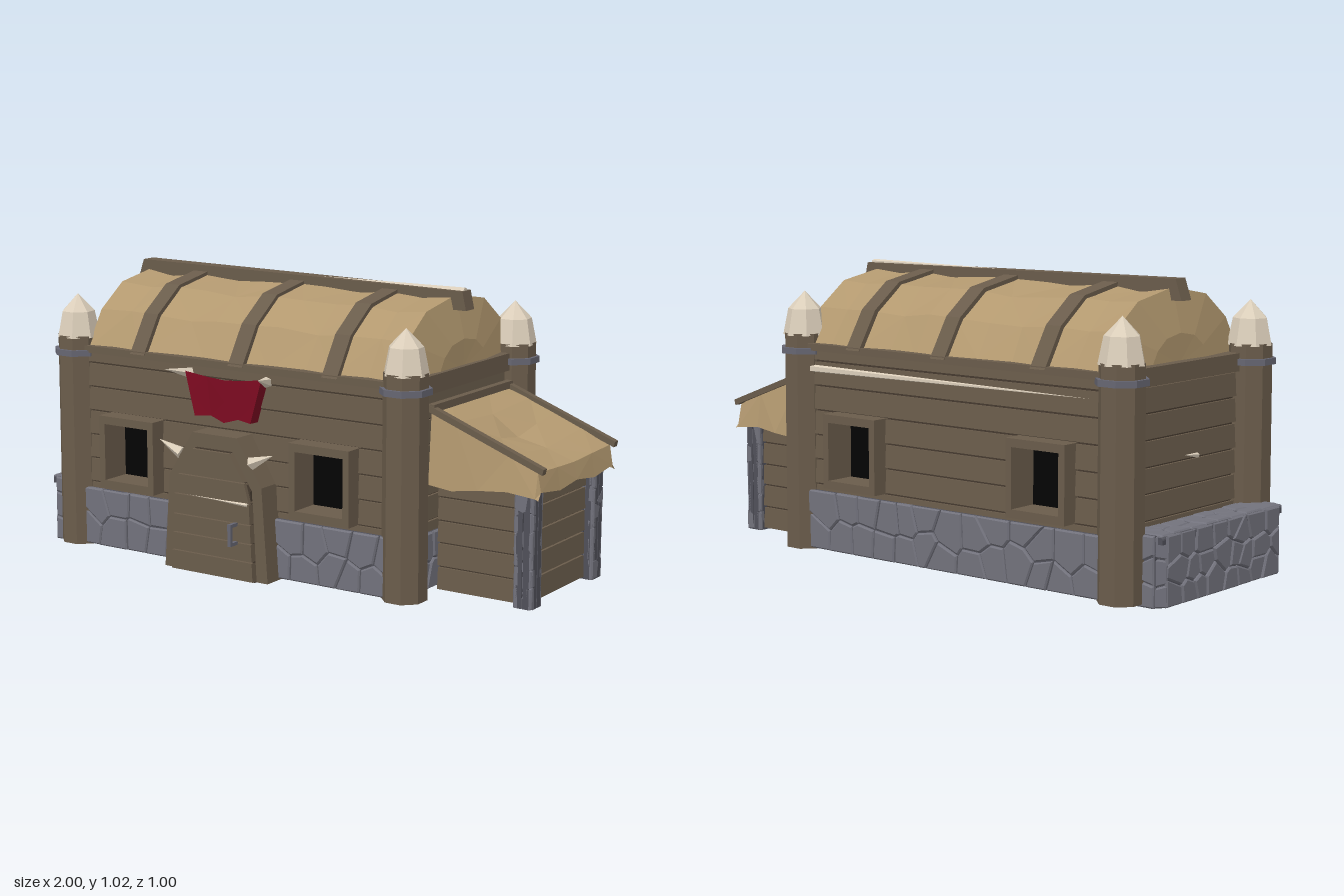
import * as THREE from 'three';
import { mergeGeometries } from 'three/addons/utils/BufferGeometryUtils.js';

const mat = (name, color, side = THREE.FrontSide) =>
  Object.assign(new THREE.MeshStandardMaterial({ color, flatShading: true, side }), { name });
const wood = mat('wood', 0x6a5c4b);
const darkWood = mat('dark wood', 0x453a2f);
const cloth = mat('hide cloth', 0xb2986f, THREE.DoubleSide);
const stone = mat('stone', 0x72727c);
const mortar = mat('mortar', 0x505059);
const bone = mat('bone', 0xdccfbb);
const iron = mat('iron', 0x666672);
const red = mat('red cloth', 0x7b0a20, THREE.DoubleSide);
const black = mat('black opening', 0x040404, THREE.DoubleSide);

let seed = 7;
const rand = () => (seed = (seed * 16807) % 2147483647) / 2147483647;
const V = (x, y, z) => new THREE.Vector3(x, y, z);

function add(parent, name, geo, material, x = 0, y = 0, z = 0) {
  const m = new THREE.Mesh(geo, material);
  m.name = name;
  m.position.set(x, y, z);
  parent.add(m);
  return m;
}
function place(parent, name, x, y, z, turn = 0) {
  const g = new THREE.Group();
  g.name = name;
  g.position.set(x, y, z);
  g.rotation.y = turn;
  parent.add(g);
  return g;
}
// box given by its lower and upper corners
function block(parent, name, m, x0, x1, y0, y1, z0, z1) {
  return add(parent, name, new THREE.BoxGeometry(x1 - x0, y1 - y0, z1 - z0), m, (x0 + x1) / 2, (y0 + y1) / 2, (z0 + z1) / 2);
}
const shapeOf = pts => new THREE.Shape(pts.map(p => new THREE.Vector2(p[0], p[1])));
const extrude = (shape, depth) => new THREE.ExtrudeGeometry(shape, { depth, bevelEnabled: false });

// grid surface from rows of points
function sheet(rows) {
  const n = rows[0].length, index = [];
  for (let i = 0; i < rows.length - 1; i++) for (let j = 0; j < n - 1; j++) {
    const a = i * n + j;
    if ((i + j) % 2) index.push(a, a + 1, a + n, a + 1, a + n + 1, a + n);
    else index.push(a, a + 1, a + n + 1, a, a + n + 1, a + n);
  }
  const g = new THREE.BufferGeometry();
  g.setAttribute('position', new THREE.Float32BufferAttribute(rows.flat(2), 3));
  g.setIndex(index);
  g.computeVertexNormals();
  return g;
}
// tapered spike from base to tip
function spike(parent, name, base, tip, r) {
  const d = tip.clone().sub(base);
  const m = add(parent, name, new THREE.ConeGeometry(r, d.length(), 5), bone);
  m.position.copy(base).addScaledVector(d, 0.5);
  m.quaternion.setFromUnitVectors(V(0, 1, 0), d.normalize());
}
// horizontal planks between the given heights, outer face at local z = 0, cut out around windows
function plankWall(parent, name, x, z, turn, width, cuts, windows = []) {
  const g = place(parent, name, x, 0, z, turn);
  for (let i = 0; i < cuts.length - 1; i++) {
    const y0 = cuts[i], y1 = cuts[i + 1], holes = y0 > 0.24 && y1 < 0.52 ? windows : [];
    const ends = [-width / 2, ...holes.flatMap(c => [c - 0.108, c + 0.108]), width / 2];
    for (let k = 0; k < ends.length; k += 2) {
      block(g, 'backing', darkWood, ends[k], ends[k + 1], y0, y1, -0.034, -0.016);
      block(g, 'plank', wood, ends[k], ends[k + 1], y0 + 0.004, y1 - 0.004, -0.026, -0.003).rotation.x = -0.06;
    }
  }
}
// keep the part of a polygon nearer to a than to b, less half a joint
function clip(poly, a, b) {
  const n = b.clone().sub(a), len = n.length();
  n.divideScalar(len);
  const dist = p => p.clone().sub(a).dot(n) - len / 2 + 0.002, out = [];
  poly.forEach((p, i) => {
    const q = poly[(i + 1) % poly.length], dp = dist(p), dq = dist(q);
    if (dp <= 0) out.push(p);
    if (dp * dq < 0) out.push(p.clone().lerp(q, dp / (dp - dq)));
  });
  return out;
}
// irregular cobbles, outer face at local z = 0, base at local y = 0
function cobbles(g, w, h, nx, ny) {
  block(g, 'mortar', mortar, -w / 2, w / 2, 0, h, -0.035, -0.012);
  const seeds = [], geos = [];
  for (let i = 0; i < nx; i++) for (let j = 0; j < ny; j++)
    seeds.push(new THREE.Vector2(((i + 0.5 + (j % 2) * 0.3 + (rand() - 0.5) * 0.7) / nx - 0.5) * w, (j + 0.5 + (rand() - 0.5) * 0.55) / ny * h));
  for (const s of seeds) {
    let poly = [[-w / 2, 0], [w / 2, 0], [w / 2, h], [-w / 2, h]].map(p => new THREE.Vector2(...p));
    for (const o of seeds) if (o !== s) poly = clip(poly, s, o);
    poly = poly.filter((p, i) => p.distanceTo(poly[(i + 1) % poly.length]) > 0.006);
    if (poly.length < 3) continue;
    const b = 0.005;
    geos.push(new THREE.ExtrudeGeometry(new THREE.Shape(poly), { depth: 0.012, bevelThickness: 0.005, bevelSize: b, bevelOffset: -b, bevelSegments: 1 })
      .translate(0, 0, -0.017 - rand() * 0.004));
  }
  add(g, 'stones', mergeGeometries(geos), stone);
}
const stoneWall = (parent, name, x, y, z, turn, w, h, nx, ny) => cobbles(place(parent, name, x, y, z, turn), w, h, nx, ny);

// half arch of the roof: [z offset, height above the eave]
const half = [[0.41, 0], [0.325, 0.135], [0.2, 0.225], [0, 0.26]];
const arch = [...half, ...half.slice(0, 3).reverse().map(([z, y]) => [-z, y])];
const ring = s => arch.map(([z, y]) => [z * s - 0.05, y * s + 0.74]);
const windowXs = [-0.57, 0.258];

function addWalls(g) {
  const P = Math.PI, cuts = [0.155, 0.247, 0.336, 0.423, 0.512, 0.6, 0.688, 0.742];
  plankWall(g, 'frontWall', -0.15, 0.352, 0, 1.36, cuts, windowXs.map(x => x + 0.15));
  plankWall(g, 'backWall', -0.15, -0.445, P, 1.36, cuts, windowXs.map(x => -x - 0.15).reverse());
  plankWall(g, 'rightWall', 0.55, -0.05, P / 2, 0.74, cuts);
  plankWall(g, 'leftWall', -0.85, -0.05, -P / 2, 0.74, cuts);
  block(g, 'darkLining', black, -0.8, 0.5, 0.21, 0.52, 0.272, 0.28);
  stoneWall(g, 'frontStoneLeft', -0.58, 0.015, 0.37, 0, 0.46, 0.21, 5, 2);
  stoneWall(g, 'frontStoneRight', 0.27, 0.015, 0.37, 0, 0.48, 0.21, 5, 2);
  stoneWall(g, 'backStone', -0.15, 0.015, -0.463, P, 1.3, 0.21, 13, 2);
  stoneWall(g, 'rightStone', 0.565, 0.015, -0.05, P / 2, 0.66, 0.195, 7, 2);
  // eave beams
  block(g, 'frontEave', wood, -0.8, 0.5, 0.725, 0.75, 0.32, 0.36);
  block(g, 'backEave', wood, -0.8, 0.5, 0.725, 0.75, -0.46, -0.42);
  for (const x of [-0.86, 0.51]) block(g, 'endBeam', wood, x, x + 0.055, 0.69, 0.752, -0.4, 0.3);
  // stone buttress along the end
  const b = place(g, 'stoneButtress', 0, 0, 0);
  stoneWall(b, 'outerFace', -1, 0, -0.03, -P / 2, 0.66, 0.235, 8, 3);
  stoneWall(b, 'frontFace', -0.92, 0, 0.34, 0, 0.1, 0.235, 1, 3);
  stoneWall(b, 'backFace', -0.92, 0, -0.4, P, 0.1, 0.235, 1, 3);
  stoneWall(b, 'frontCorner', -0.982, 0, 0.318, -P / 4, 0.055, 0.235, 1, 3);
  stoneWall(b, 'backCorner', -0.982, 0, -0.378, -P * 0.75, 0.055, 0.235, 1, 3);
  block(b, 'core', stone, -0.975, -0.87, 0.005, 0.22, -0.37, 0.31);
  const top = place(b, 'topFace', -0.868, 0.242, -0.03);
  top.rotation.set(-P / 2, 0, P / 2);
  cobbles(top, 0.7, 0.125, 8, 2);
}

function addPosts(g) {
  for (const x of [-0.855, 0.545]) for (const z of [-0.415, 0.32]) {
    const p = place(g, 'cornerPost', x, 0, z, Math.PI / 8);
    add(p, 'shaft', new THREE.CylinderGeometry(0.077, 0.079, 0.772, 8), wood, 0, 0.396, 0);
    add(p, 'band', new THREE.CylinderGeometry(0.09, 0.09, 0.022, 8), iron, 0, 0.722, 0);
    const profile = [[0.079, 0.775], [0.06, 0.868], [0, 0.93]].map(q => new THREE.Vector2(...q));
    add(p, 'boneCap', new THREE.LatheGeometry(profile, 7), bone);
  }
}

function addRoof(g) {
  // cloth sags unevenly between the ribs and closes at both gables
  const stations = [[-0.82, 0], [-0.825, 0.4], [-0.79, 0.97], [-0.67, 0.935], [-0.55, 0.97], [-0.4, 0.93], [-0.27, 0.93], [-0.12, 0.97],
    [0, 0.935], [0.14, 0.925], [0.27, 0.97], [0.4, 0.93], [0.515, 0.97], [0.55, 0.4], [0.545, 0]];
  add(g, 'roofCloth', sheet(stations.map(([x, s]) => {
    const loose = s > 0.9 && s < 0.95 ? 0.03 : 0;
    return ring(s).map(([z, y]) => [x + (rand() - 0.5) * loose, y + (rand() - 0.5) * loose * 0.6, z]);
  })), cloth);
  for (const x of windowXs.length ? [-0.55, -0.12, 0.27] : []) {
    const rib = extrude(shapeOf([...ring(1.01), ...ring(0.9).reverse()]), 0.062);
    add(g, 'roofRib', rib.rotateY(-Math.PI / 2), wood, x + 0.031);
  }
  const side = shapeOf([[-0.84, 0.95], [0.575, 0.945], [0.56, 1.01], [-0.815, 1.022]]);
  add(g, 'ridgeBeam', extrude(side, 0.056), wood, 0, 0, -0.071);
  spike(g, 'ridgeSplinter', V(0.555, 1.008, -0.043), V(-0.16, 1.014, -0.043), 0.014);
  spike(g, 'wallSplinter', V(0.5, 0.66, -0.444), V(-0.75, 0.66, -0.444), 0.014);
  spike(g, 'endSplinter', V(-0.848, 0.43, 0.02), V(-0.848, 0.44, -0.06), 0.01);
}

function addWindows(g) {
  for (const x of windowXs) for (const [z, turn] of [[0.285, 0], [-0.375, Math.PI]]) {
    const w = place(g, 'window', x, 0.38, z, turn);
    const r = (a, b) => [[-a, -b], [a, -b], [a, b], [-a, b]];
    const frame = shapeOf(r(0.122, 0.132));
    frame.holes.push(shapeOf(r(0.097, 0.103)));
    add(w, 'frame', extrude(frame, 0.125), wood);
    add(w, 'opening', new THREE.BoxGeometry(0.196, 0.208, 0.008), black, 0, 0, 0.006);
  }
}

function addDoor(g) {
  const d = place(g, 'door', -0.157, 0, 0);
  const outline = (a, b, c, y1, y2) => [[-a, 0.01], [a, 0.01], [b, y1], [c, y2], [-c, y2], [-b, y1]];
  const frame = shapeOf(outline(0.222, 0.198, 0.095, 0.345, 0.508));
  const inner = outline(0.175, 0.158, 0.075, 0.33, 0.458);
  frame.holes.push(shapeOf(inner));
  add(d, 'frame', extrude(frame, 0.105), wood, 0, 0, 0.33);
  add(d, 'doorBacking', extrude(shapeOf(inner), 0.03), darkWood, 0, 0, 0.415);
  add(d, 'darkBacking', extrude(shapeOf(inner), 0.008), black, 0, 0, 0.405);
  const halfWidth = y => (y < 0.33 ? 0.176 - 0.05 * y : 0.16 - (y - 0.33) * 0.64);
  const cuts = [0.012, 0.083, 0.148, 0.215, 0.288, 0.36, 0.457];
  for (let i = 0; i < 6; i++) {
    const y0 = cuts[i] + 0.002, y1 = cuts[i + 1] - 0.002, a = halfWidth(y0), b = halfWidth(y1);
    add(d, 'doorPlank', extrude(shapeOf([[-a, y0], [a, y0], [b, y1], [-b, y1]]), 0.035), wood, 0, 0, 0.424);
  }
  spike(d, 'doorSplinter', V(0.155, 0.285, 0.456), V(-0.13, 0.29, 0.456), 0.008);
  // handle
  block(d, 'handleGrip', iron, 0.1, 0.113, 0.14, 0.218, 0.488, 0.5);
  for (const y of [0.14, 0.206]) block(d, 'handleArm', iron, 0.1, 0.113, y, y + 0.012, 0.455, 0.49);
  for (const s of [-1, 1]) {
    spike(d, 'doorHorn', V(s * 0.15, 0.425, 0.425), V(s * 0.245, 0.465, 0.43), 0.024);
    spike(d, 'bannerHorn', V(s * 0.165, 0.697, 0.35), V(s * 0.2, 0.722, 0.455), 0.02);
  }
  // hanging banner, its edges folded back to the wall
  const across = [-1, -0.97, -0.45, 0.05, 0.5, 0.97, 1];
  const rows = [0, 0.5, 1].map(t => across.map((u, j) => [u * (0.168 - 0.045 * t),
    0.71 - 0.155 * t - (1 - t) * 0.018 * (1 - u * u) - t * [0, 0, -0.006, 0.012, -0.004, 0.002, 0.002][j],
    j % 6 ? 0.374 + 0.009 * (j % 2) + 0.005 * t : 0.348]));
  add(d, 'banner', sheet(rows), red);
}

function addAnnex(g) {
  const a = place(g, 'annex', 0, 0, 0), cuts = [0.008, 0.092, 0.175, 0.253, 0.335, 0.42];
  plankWall(a, 'annexEnd', 0.925, -0.07, Math.PI / 2, 0.42, cuts);
  plankWall(a, 'annexFront', 0.745, 0.165, 0, 0.33, cuts);
  plankWall(a, 'annexBack', 0.745, -0.305, Math.PI, 0.33, cuts);
  for (const z of [0.152, -0.287]) {
    const p = place(a, 'stonePillar', 0.92, 0, z);
    for (let k = 0; k < 4; k++) {
      const r = k * Math.PI / 2;
      stoneWall(p, 'pillarFace', Math.sin(r) * 0.037, 0.004, Math.cos(r) * 0.037, r, 0.072, 0.395, 2, 6);
    }
  }
  // draped cloth with skirts at both sides and the outer edge
  const zs = [0.195, 0.06, -0.06, -0.19, -0.325], dip = [0, 1, 1.7, 0.8, 0];
  const row = (x, y, sag, hem, out) => [[x, hem, 0.213], ...zs.map((z, j) => [x, y - sag * dip[j], z]), [x, hem, -0.345 - out]];
  const rows = [row(0.57, 0.635, 0, 0.385, 0), row(0.66, 0.605, 0.008, 0.375, 0), row(0.76, 0.567, 0.026, 0.39, 0.018),
    row(0.87, 0.523, 0.014, 0.4, 0), row(0.975, 0.475, 0.006, 0.39, 0)];
  const wave = [0.385, 0.41, 0.392, 0.405, 0.388, 0.405, 0.385];
  rows.push(rows[4].map(([, , z], j) => [0.987, wave[j], z]));
  add(a, 'annexCloth', sheet(rows), cloth);
  for (const z of [0.193, -0.325]) {
    const pole = shapeOf([[0.565, 0.632], [0.995, 0.47], [1, 0.49], [0.565, 0.655]]);
    add(a, 'roofPole', extrude(pole, 0.024), wood, 0, 0, z - 0.012);
  }
  block(a, 'wallPole', wood, 0.56, 0.585, 0.632, 0.658, -0.335, 0.203);
}

export function createModel() {
  const g = new THREE.Group();
  g.name = 'longhouse';
  for (const build of [addWalls, addPosts, addRoof, addWindows, addDoor, addAnnex]) build(g);
  return g;
}
